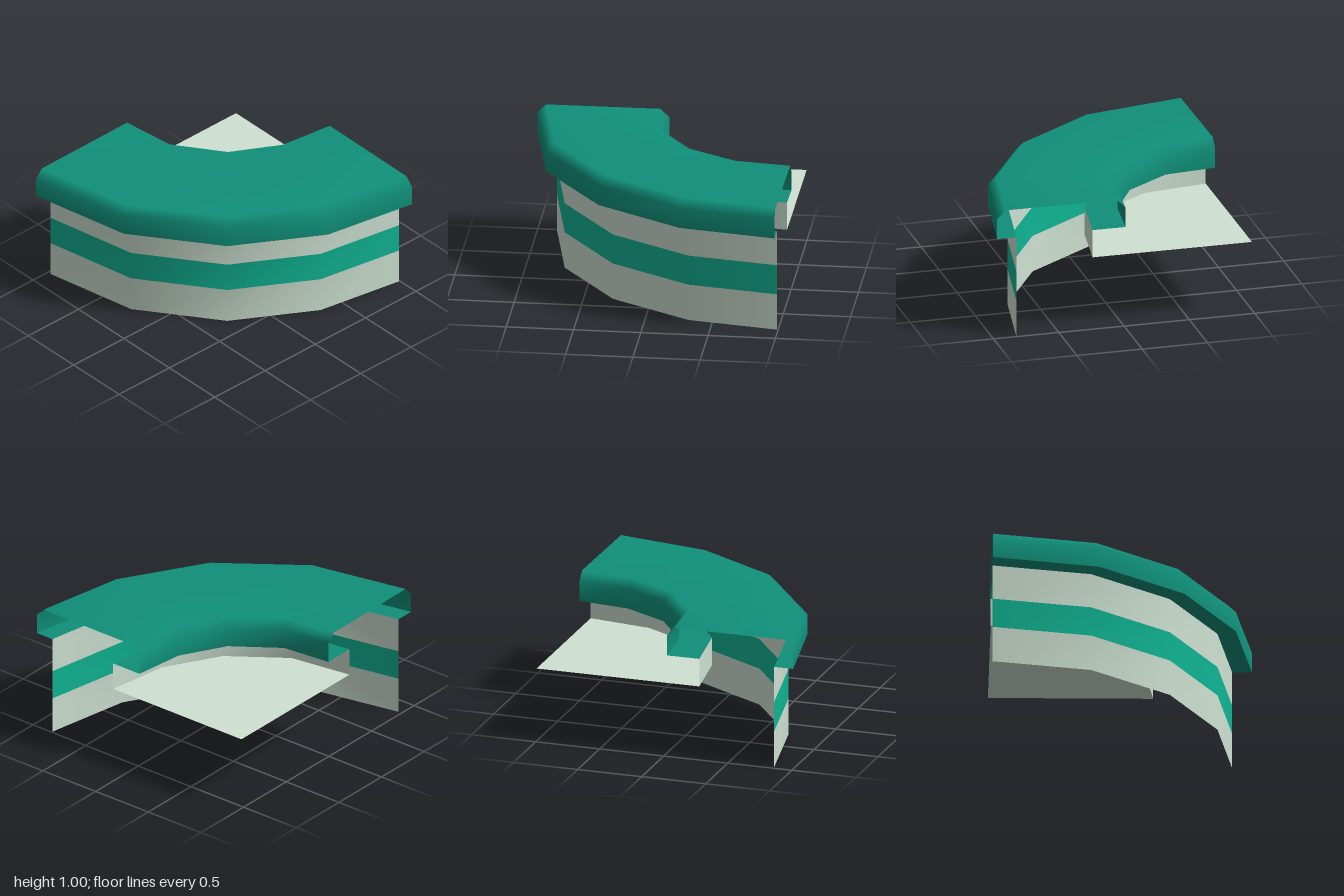
import * as THREE from 'three';

const flat = (name, color) =>
  Object.assign(new THREE.MeshStandardMaterial({ color, side: THREE.DoubleSide }), { name });

// Plan of the countertop: inner and outer rim corners [x, z], four facets round the quarter turn
const INNER = [[-0.02, -0.98], [0.02, -0.59], [0.26, -0.25], [0.6, -0.06], [1, -0.01]];
const OUTER = [[-1, -0.97], [-0.84, -0.18], [-0.38, 0.45], [0.27, 0.84], [0.99, 0.97]];
const CENTRE = [1, -0.98];

// Plan point at facet corner i; t = 0 on the inner rim, 1 on the outer rim
const plan = (i, t) => [0, 1].map(k => INNER[i][k] + (OUTER[i][k] - INNER[i][k]) * t);

// Sweeps a profile of [t, y] points round the corner as an open, smooth-shaded sheet
function sweep(profile) {
  const n = INNER.length, pos = [], index = [];
  profile.forEach(([t, y], j) => {
    for (let i = 0; i < n; i++) {
      const [x, z] = plan(i, t);
      pos.push(x, y, z);
      if (j && i) {
        const d = j * n + i, c = d - 1, b = d - n, a = b - 1;
        index.push(a, b, d, a, d, c);
      }
    }
  });
  const g = new THREE.BufferGeometry();
  g.setAttribute('position', new THREE.Float32BufferAttribute(pos, 3));
  g.setIndex(index);
  g.computeVertexNormals();
  return g;
}

export function createModel() {
  const group = new THREE.Group();
  const panel = flat('pale sage panel', 0xcfe2d3);
  const stripe = flat('bright teal stripe', 0x10b594);
  const top = flat('deep teal countertop', 0x10907a);

  const add = (name, geometry, material) => {
    const mesh = new THREE.Mesh(geometry, material);
    mesh.name = name;
    group.add(mesh);
  };

  // Curved front wall in three bands
  const WALL = 0.85, SHELF = 0.255, LIP = 0.78, SHELF_Y = 0.565;
  add('lowerFrontPanel', sweep([[WALL, 0], [WALL, 0.28]]), panel);
  add('frontStripe', sweep([[WALL, 0.28], [WALL, 0.51]]), stripe);
  add('upperFrontPanel', sweep([[WALL, 0.51], [WALL, LIP]]), panel);

  // Countertop with bevelled rims, and the turned-in strips below them
  add('countertop', sweep([[1, LIP], [1, 0.935], [0.935, 1], [0.065, 1], [0, 0.935], [0, LIP]]), top);
  add('outerLipUnderside', sweep([[WALL, LIP], [1, LIP]]), top);
  add('innerLipUnderside', sweep([[0, LIP], [SHELF, LIP]]), top);

  // Inner wall dropping to the shelf
  add('innerWall', sweep([[SHELF, LIP], [SHELF, SHELF_Y]]), panel);

  // Fan-shaped shelf filling the inside of the corner
  const outline = [CENTRE, ...INNER.map((_, i) => plan(i, SHELF))];
  const shelf = new THREE.ShapeGeometry(new THREE.Shape(outline.map(([x, z]) => new THREE.Vector2(x, -z))));
  shelf.rotateX(-Math.PI / 2).translate(0, SHELF_Y, 0);
  add('shelf', shelf, panel);

  return group;
}
